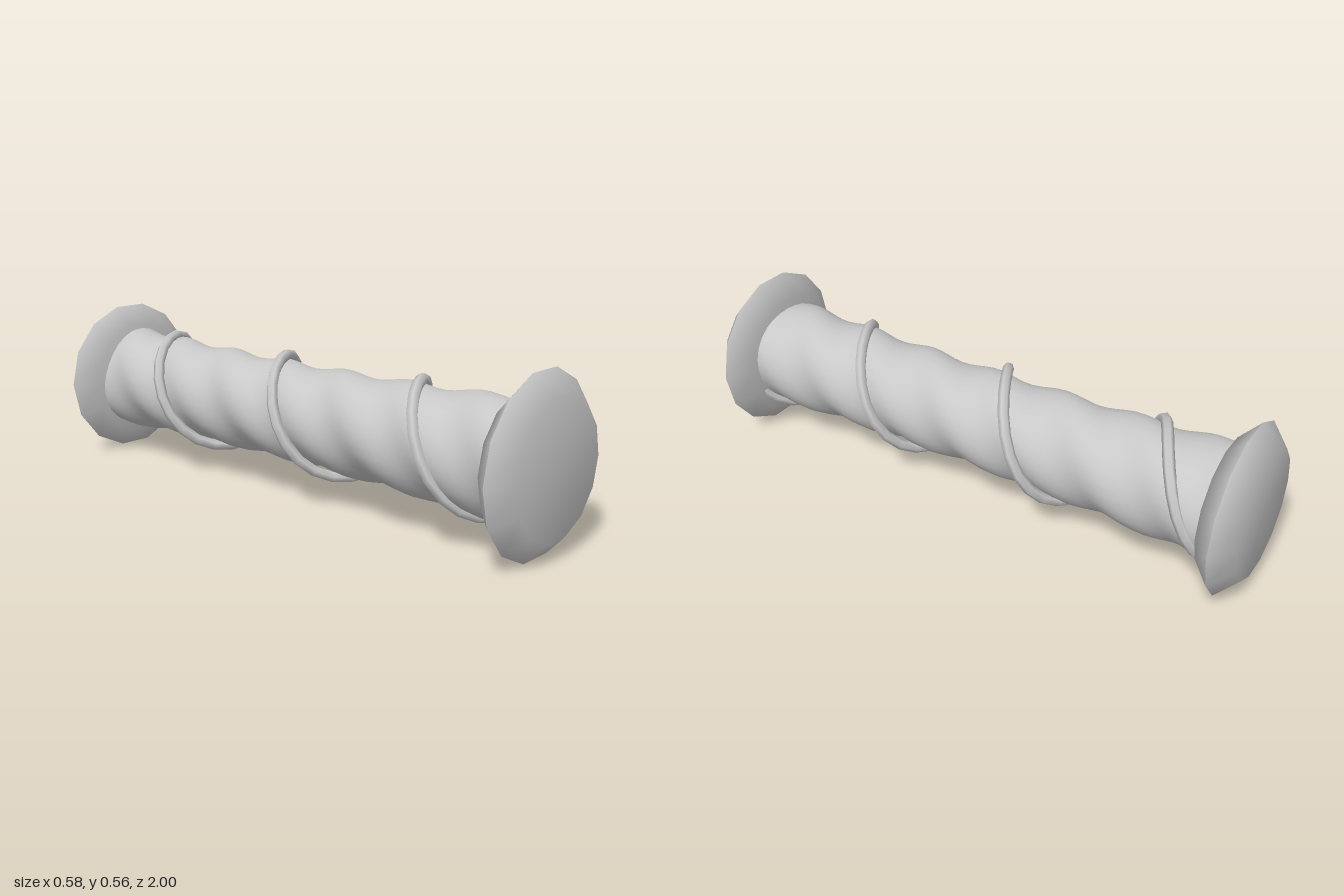
import * as THREE from 'three';
import { mergeVertices } from 'three/addons/utils/BufferGeometryUtils.js';

const AXIS_Y = 0.282;
const SIDES = 14;

// Lathe turned so that its axis runs along z
function turned(profile) {
  const points = profile.map(([r, z]) => new THREE.Vector2(r, z));
  return new THREE.LatheGeometry(points, SIDES, Math.PI / 2).rotateX(Math.PI / 2);
}

// Shaft radius: slightly waisted, with a shallow three-armed twist
function shaftRadius(z, a) {
  const waist = 0.165 + 0.02 * (z / 0.87) ** 2;
  return waist - 0.008 * Math.cos((2 * Math.PI * (z - 0.13)) / 0.268 - 3 * a);
}

function shaftGeometry() {
  const tube = new THREE.CylinderGeometry(1, 1, 1.78, 28, 56, true).rotateX(Math.PI / 2);
  tube.deleteAttribute('uv');
  tube.deleteAttribute('normal');
  const geometry = mergeVertices(tube, 1e-4);
  const p = geometry.attributes.position;
  for (let i = 0; i < p.count; i++) {
    const z = p.getZ(i);
    const a = Math.atan2(p.getY(i), p.getX(i));
    const r = shaftRadius(z, a);
    p.setXYZ(i, r * Math.cos(a), r * Math.sin(a), z);
  }
  geometry.computeVertexNormals();
  return geometry;
}

// Helix that winds around the shaft between the two end caps
class Helix extends THREE.Curve {
  getPoint(t, target = new THREE.Vector3()) {
    const z = 0.92 - 1.84 * t;
    const a = Math.PI / 2 + ((z - 0.5) / 0.583) * 2 * Math.PI;
    return target.set(0.188 * Math.cos(a), 0.188 * Math.sin(a), z);
  }
}

export function createModel() {
  const model = new THREE.Group();
  const grey = new THREE.MeshStandardMaterial({ color: 0xc8c8c8 });
  grey.name = 'plain grey';

  const add = (name, geometry, parent = model) => {
    const mesh = new THREE.Mesh(geometry, grey);
    mesh.name = name;
    parent.add(mesh);
    return mesh;
  };

  add('twistedShaft', shaftGeometry()).position.y = AXIS_Y;
  add('spiralVine', new THREE.TubeGeometry(new Helix(), 60, 0.019, 6)).position.y = AXIS_Y;

  // End caps: two bevelled halves meeting in a sharp rim
  for (const side of [1, -1]) {
    const cap = new THREE.Group();
    cap.name = side > 0 ? 'frontCap' : 'backCap';
    add('capInner', turned([[0, 0.87], [0.218, 0.87], [0.289, 0.935]]), cap);
    add('capOuter', turned([[0.289, 0.935], [0.218, 1], [0, 1]]), cap);
    cap.position.y = AXIS_Y;
    if (side < 0) {
      cap.rotation.y = Math.PI;
      cap.scale.set(0.98, 0.98, 1);
    }
    model.add(cap);
  }
  return model;
}
